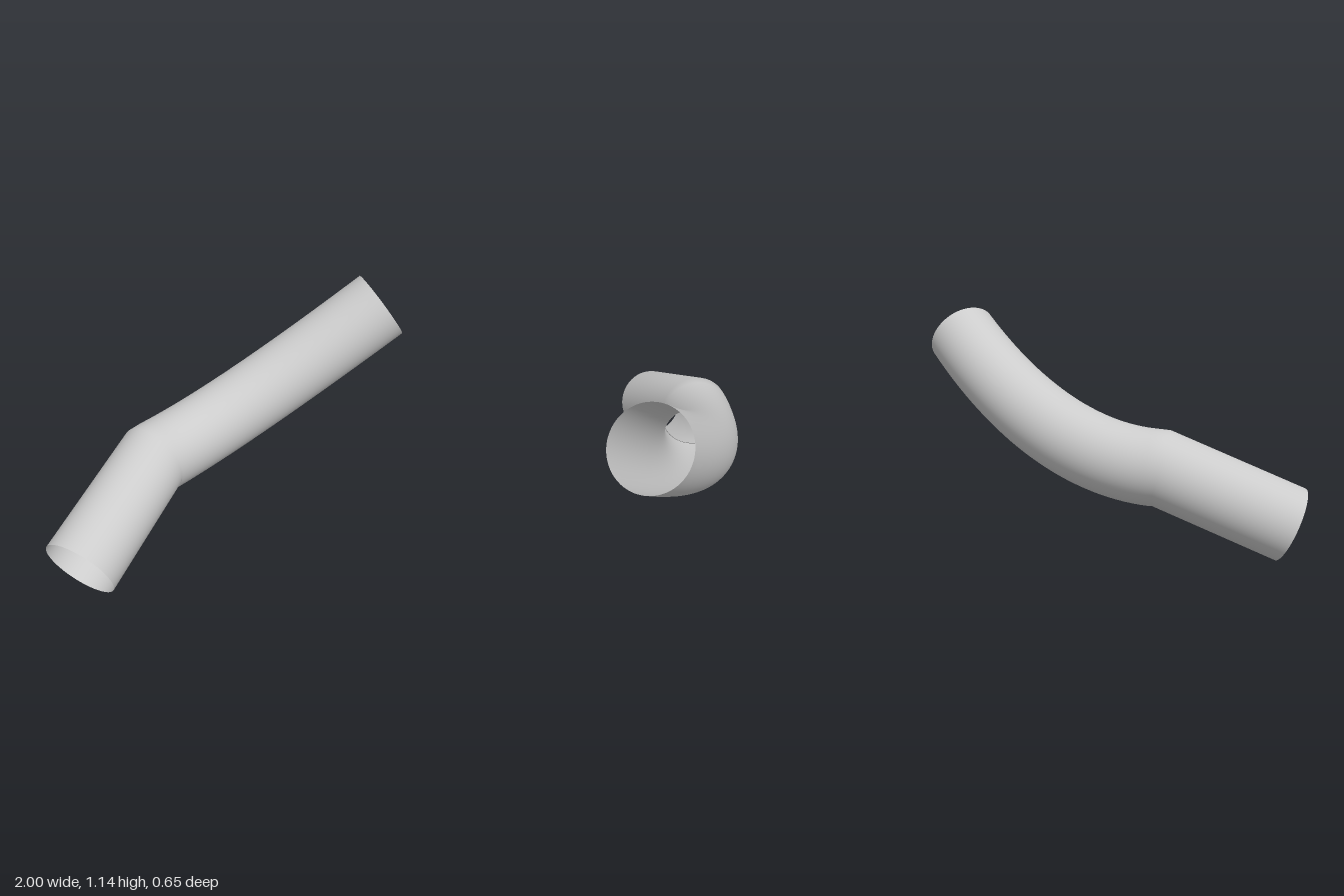
import * as THREE from 'three';

// Centre line: a straight run, a mitred joint, then a swept bend.
class PipePath extends THREE.Curve {
  constructor(points) {
    super();
    this.points = points;
  }
  index(u) {
    return Math.round(u * (this.points.length - 1));
  }
  getPoint(u) {
    return this.points[this.index(u)].clone();
  }
  getPointAt(u) {
    return this.getPoint(u);
  }
  // Mean direction of the neighbouring segments, so the joint is mitred.
  getTangentAt(u) {
    const p = this.points, i = this.index(u);
    const t = new THREE.Vector3();
    if (i > 0) t.add(p[i].clone().sub(p[i - 1]).normalize());
    if (i < p.length - 1) t.add(p[i + 1].clone().sub(p[i]).normalize());
    return t.normalize();
  }
}

export function createModel() {
  const group = new THREE.Group();
  group.name = 'bentPipe';

  const radius = 0.18;
  const inlet = new THREE.Vector3(-0.91, 0.167, 0.067);
  const bend = new THREE.QuadraticBezierCurve3(
    new THREE.Vector3(-0.35, 0.425, -0.135),
    new THREE.Vector3(0.18, 0.432, -0.198),
    new THREE.Vector3(0.875, 0.993, 0.16)
  );
  const path = new PipePath([inlet, ...bend.getPoints(32)]);

  // Open-ended thin wall
  const wall = new THREE.Mesh(
    new THREE.TubeGeometry(path, path.points.length - 1, radius, 64, false),
    new THREE.MeshStandardMaterial({ color: 0xcccccc, side: THREE.DoubleSide })
  );
  wall.name = 'pipeWall';
  group.add(wall);
  return group;
}
